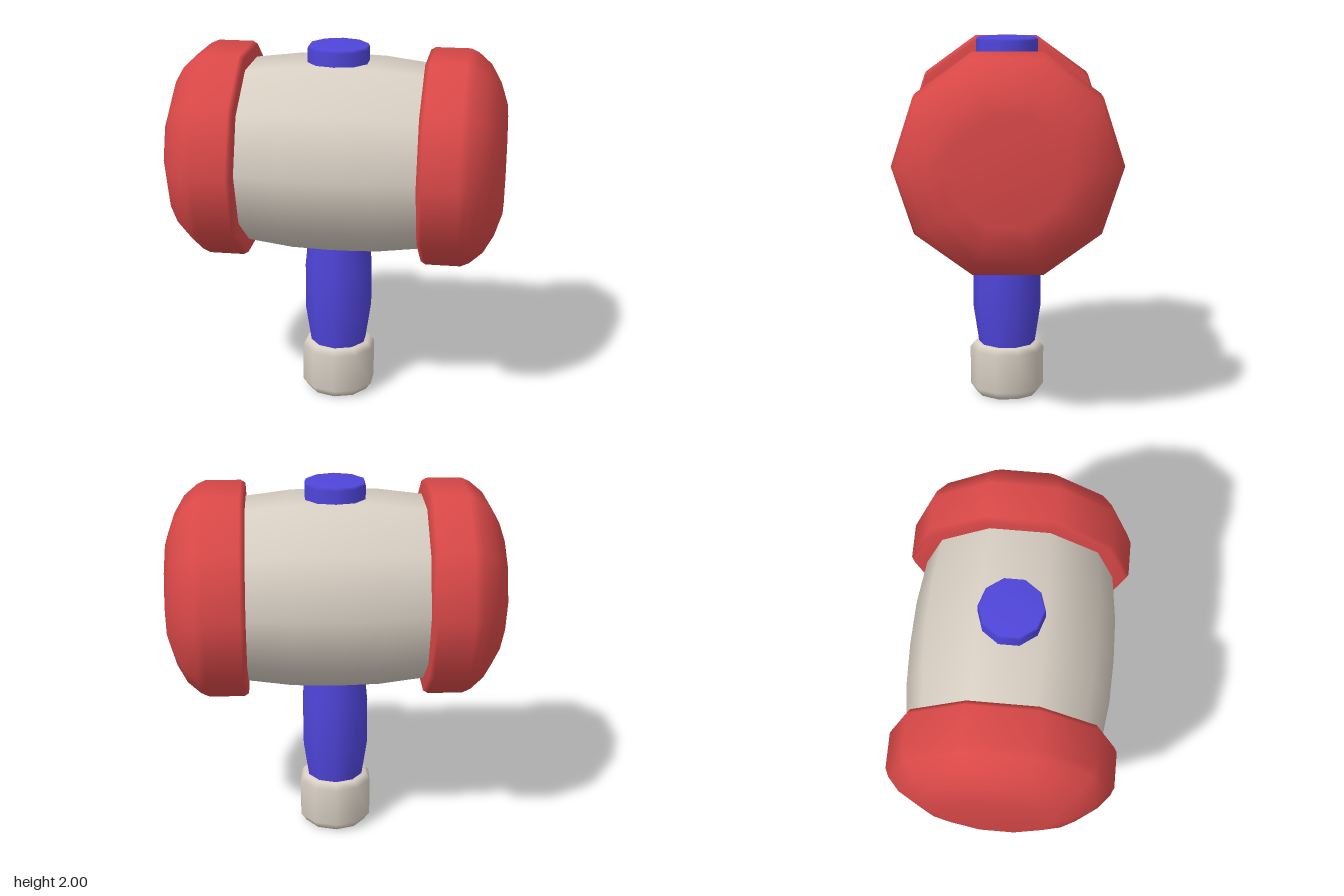
import * as THREE from 'three';

const material = (name, color) => {
  const m = new THREE.MeshStandardMaterial({ color });
  m.name = name;
  return m;
};

// Ten-sided turned part; profile is [radius, height] from bottom to top.
function turned(name, profile, mat) {
  const points = profile.map(([r, y]) => new THREE.Vector2(r, y));
  const mesh = new THREE.Mesh(new THREE.LatheGeometry(points, 10), mat);
  mesh.name = name;
  return mesh;
}

export function createModel() {
  const red = material('red', 0xda4848);
  const blue = material('blue', 0x4f45da);
  const cream = material('cream', 0xd8cfc3);

  const model = new THREE.Group();
  model.name = 'mallet';

  // Head: barrel lying along x with a domed cap at each end
  const head = new THREE.Group();
  head.name = 'head';
  head.position.y = 1.405;
  model.add(head);

  const barrel = turned('barrel', [
    [0.49, -0.52], [0.5, -0.475], [0.53, -0.235], [0.537, 0],
    [0.53, 0.235], [0.5, 0.475], [0.49, 0.52],
  ], cream);
  barrel.rotation.z = -Math.PI / 2;
  head.add(barrel);

  const capProfile = [
    [0.45, 0.475], [0.57, 0.475], [0.585, 0.5], [0.585, 0.69],
    [0.565, 0.735], [0.505, 0.805], [0.41, 0.86], [0.29, 0.9], [0, 0.9],
  ];
  for (const side of [1, -1]) {
    const cap = turned(side > 0 ? 'leftCap' : 'rightCap', capProfile, red);
    cap.rotation.z = -side * Math.PI / 2;
    head.add(cap);
  }

  // Handle grip, running through the barrel and out of the top
  model.add(turned('handle', [
    [0.157, 0.27], [0.157, 0.3], [0.187, 0.5], [0.187, 0.76],
    [0.173, 0.9], [0.168, 1.2], [0.168, 1.985], [0.16, 2], [0, 2],
  ], blue));

  // Bevelled end knob
  model.add(turned('pommel', [
    [0, 0], [0.172, 0.005], [0.205, 0.05], [0.205, 0.265],
    [0.18, 0.297], [0.14, 0.3],
  ], cream));

  return model;
}
